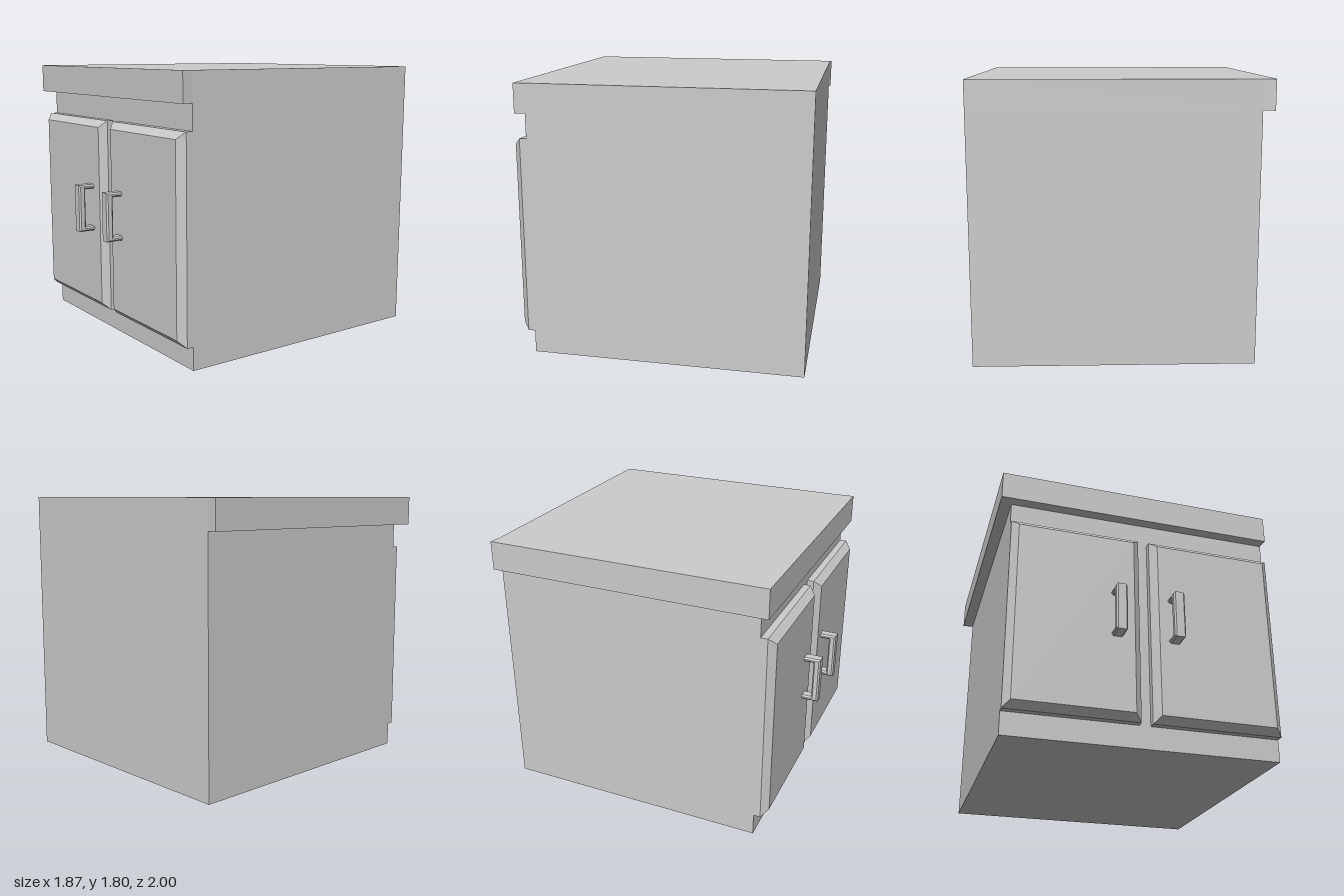
import * as THREE from 'three';

const material = new THREE.MeshStandardMaterial({ color: 0xcccccc, flatShading: true });

function polygon(points) {
  return new THREE.Shape(points.map(([x, y]) => new THREE.Vector2(x, y)));
}

// Extrusion whose chamfer is cut inside the given outline
function chamfered(points, depth, bevel) {
  return new THREE.ExtrudeGeometry(polygon(points), {
    depth, bevelEnabled: bevel > 0, bevelThickness: bevel,
    bevelSize: bevel, bevelOffset: -bevel, bevelSegments: 1,
  });
}

export function createModel() {
  const group = new THREE.Group();
  const add = (name, geometry) => {
    const mesh = new THREE.Mesh(geometry, material);
    mesh.name = name;
    group.add(mesh);
    return mesh;
  };

  // Cabinet body, flush with the worktop at the back and on the left
  const body = add('body', new THREE.BoxGeometry(1.79, 1.61, 1.79));
  body.position.set(0.035, 0.805, -0.095);

  // Worktop overhanging the front and the right, with slightly flared lip ends
  const top = chamfered([
    [-0.935, -0.87], [0.935, -0.87], [0.93, -0.8],
    [0.93, 0.99], [-0.86, 0.99], [-0.935, 1.0],
  ], 0.19, 0);
  top.rotateX(-Math.PI / 2);
  add('worktop', top).position.y = 1.61;

  // Doors with mitred front bevels; the rear bevel is sunk in the body
  const doorWidth = 0.858, bevel = 0.045;
  const doors = [
    { side: 'right', x: -0.86, handleX: -0.164 },
    { side: 'left', x: 0.072, handleX: 0.217 },
  ];
  for (const { side, x, handleX } of doors) {
    const door = chamfered([
      [x, 0.15], [x + doorWidth, 0.15], [x + doorWidth, 1.45], [x, 1.45],
    ], 0.045, bevel);
    add(side + 'Door', door).position.z = 0.8;

    // C-shaped pull handle, profile in z and y
    const edge = 0.01, width = 0.074;
    const handle = chamfered([
      [0.88, 0.692], [1.0, 0.692], [1.0, 1.012], [0.88, 1.012],
      [0.88, 0.982], [0.953, 0.982], [0.953, 0.722], [0.88, 0.722],
    ], width - 2 * edge, edge);
    handle.translate(0, 0, edge - width / 2);
    handle.rotateY(-Math.PI / 2);
    add(side + 'Handle', handle).position.x = handleX;
  }

  return group;
}
